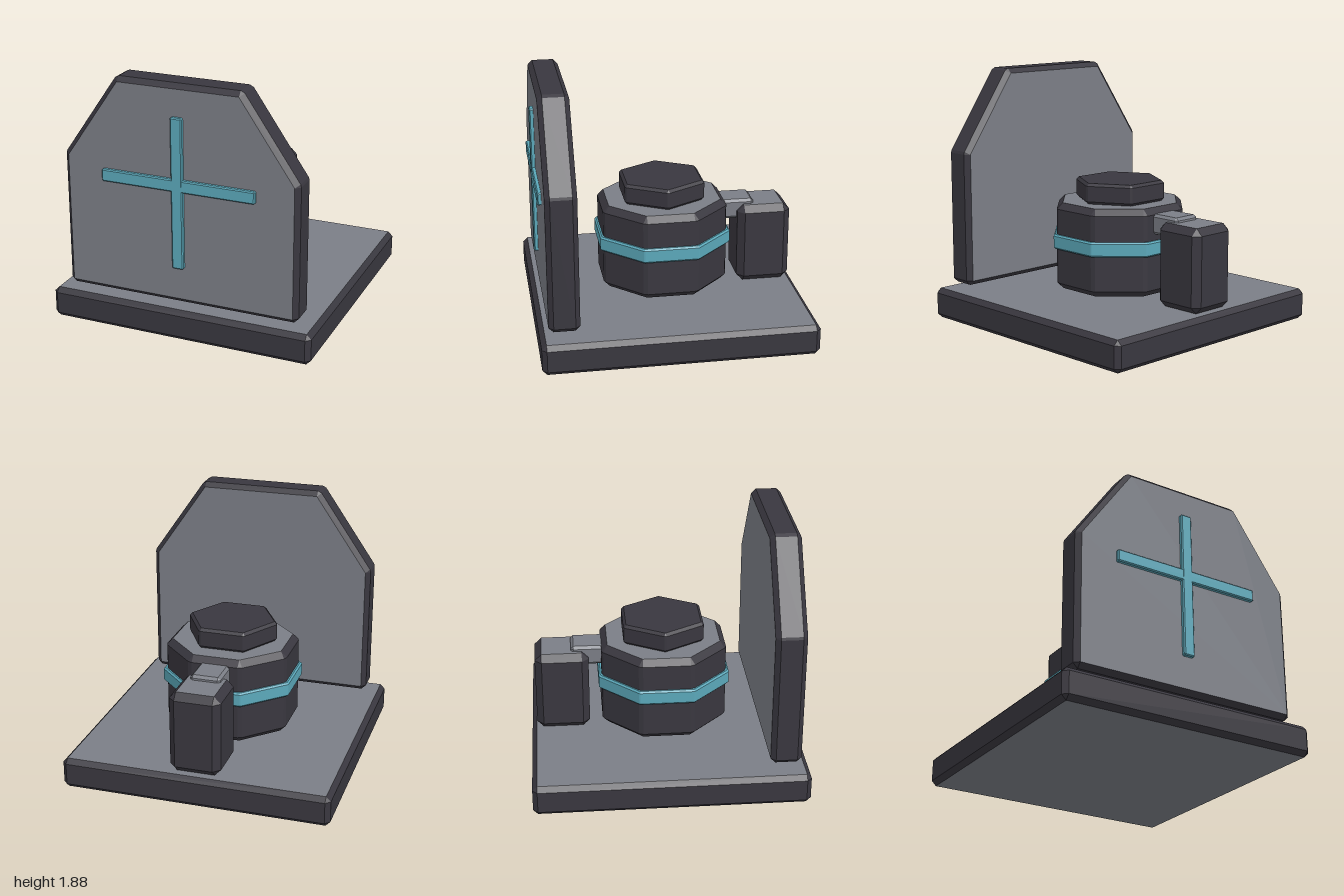
import * as THREE from 'three';

const material = (name, color) => {
  const m = new THREE.MeshStandardMaterial({ color, flatShading: true });
  m.name = name;
  return m;
};

// Prism along z with chamfered edges and corners.
// pts: counter-clockwise convex outline of the flat caps; b: bevel width.
// Group 0 holds the caps, group 1 the sides and bevels.
function bevelPrism(pts, depth, b) {
  const n = pts.length;
  const inner = [], outer = [];
  const normal = (p, q) => {
    const dx = q[0] - p[0], dy = q[1] - p[1], l = Math.hypot(dx, dy);
    return [dy / l, -dx / l];
  };
  pts.forEach((p, i) => {
    const prev = pts[(i + n - 1) % n], next = pts[(i + 1) % n];
    for (const [nx, ny] of [normal(prev, p), normal(p, next)]) {
      inner.push(p);
      outer.push([p[0] + nx * b, p[1] + ny * b]);
    }
  });
  const rings = [[inner, 0], [outer, b], [outer, depth - b], [inner, depth]]
    .map(([ring, z]) => ring.map(([x, y]) => new THREE.Vector3(x, y, z)));
  const pos = [];
  const tri = (p, q, r) => {
    const area = q.clone().sub(p).cross(r.clone().sub(p)).length();
    if (area > 1e-9) for (const v of [p, q, r]) pos.push(v.x, v.y, v.z);
  };
  for (let i = 1; i < n - 1; i++) {
    const [c, d] = [2 * i, 2 * i + 2];
    tri(rings[3][0], rings[3][c], rings[3][d]);
    tri(rings[0][0], rings[0][d], rings[0][c]);
  }
  const capCount = pos.length / 3;
  for (let k = 0; k < 3; k++) {
    for (let i = 0; i < 2 * n; i++) {
      const j = (i + 1) % (2 * n);
      const [lo, hi] = [rings[k], rings[k + 1]];
      tri(lo[i], lo[j], hi[j]);
      tri(lo[i], hi[j], hi[i]);
    }
  }
  const g = new THREE.BufferGeometry();
  g.setAttribute('position', new THREE.Float32BufferAttribute(pos, 3));
  g.addGroup(0, capCount, 0);
  g.addGroup(capCount, pos.length / 3 - capCount, 1);
  g.computeVertexNormals();
  return g;
}

// Cap outlines, given the overall half sizes and the bevel
const rect = (hx, hy, b) => {
  const x = hx - b, y = hy - b;
  return [[-x, -y], [x, -y], [x, y], [-x, y]];
};
const regular = (sides, apothem, b, turn) => Array.from({ length: sides }, (_, i) => {
  const a = turn + (i / sides) * Math.PI * 2;
  const r = (apothem - b) / Math.cos(Math.PI / sides);
  return [Math.cos(a) * r, Math.sin(a) * r];
});

export function createModel() {
  const dark = material('dark casing', 0x39373f);
  const grey = material('grey panel', 0x7b7e86);
  const teal = material('teal trim', 0x5ba8ba);
  const model = new THREE.Group();

  const add = (name, geometry, caps, sides, x, y, z) => {
    const mesh = new THREE.Mesh(geometry, [caps, sides]);
    mesh.name = name;
    mesh.position.set(x, y, z);
    model.add(mesh);
  };
  // Prism standing upright from y0 to y1
  const upright = (name, pts, y0, y1, b, caps, sides, z = 0) =>
    add(name, bevelPrism(pts, y1 - y0, b).rotateX(-Math.PI / 2), caps, sides, 0, y0, z);

  // Base plate
  upright('base', rect(1, 1, 0.035), 0, 0.23, 0.035, grey, dark);

  // Octagonal drum with its band and hexagonal cap
  upright('drum', regular(8, 0.465, 0.045, Math.PI / 8), 0.275, 0.925, 0.045, grey, dark);
  upright('drumBand', regular(8, 0.488, 0.012, Math.PI / 8), 0.58, 0.69, 0.012, teal, teal);
  upright('hexCap', regular(6, 0.298, 0.02, 0), 0.925, 1.08, 0.02, dark, dark);

  // Rear power box and the link to the drum
  upright('rearBox', rect(0.19, 0.2, 0.05), 0.235, 0.85, 0.05, grey, dark, -0.76);
  upright('rearLink', rect(0.113, 0.145, 0.02), 0.735, 0.885, 0.02, grey, grey, -0.545);

  // Front shield
  const half = [[0.85, 0.305], [0.85, 1.27], [0.45, 1.85]];
  const outline = [...half, ...half.map(([x, y]) => [-x, y]).reverse()];
  add('shield', bevelPrism(outline, 0.225, 0.035), grey, dark, 0, 0, 0.715);

  // Cross bars on the shield face
  add('crossUpright', bevelPrism(rect(0.043, 0.555, 0.008), 0.04, 0.008), teal, teal, 0, 1.1, 0.93);
  add('crossBar', bevelPrism(rect(0.576, 0.045, 0.008), 0.039, 0.008), teal, teal, 0, 1.165, 0.93);

  return model;
}
